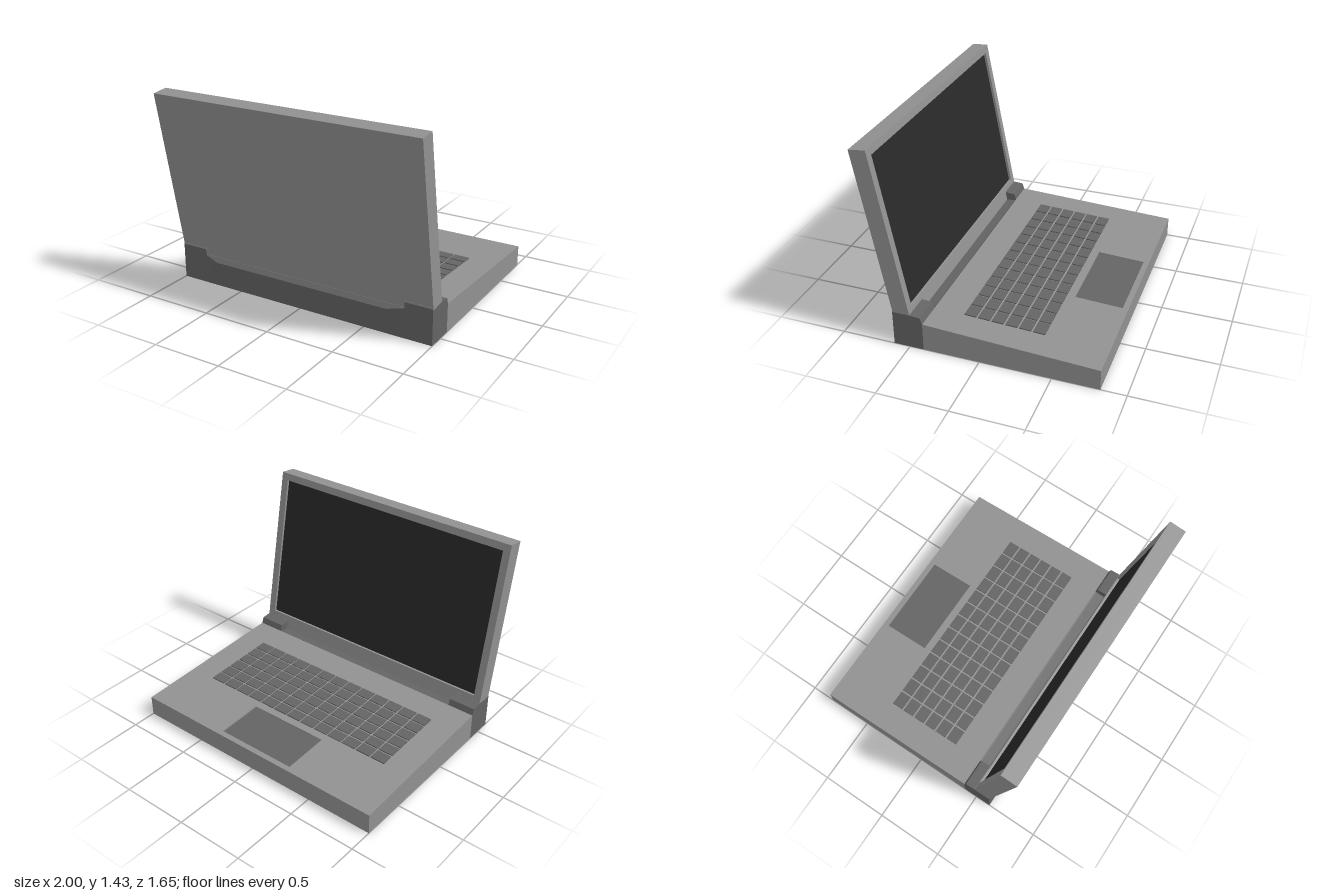
import * as THREE from 'three';

const grey = new THREE.MeshStandardMaterial({ color: 0x919191, flatShading: true });
const dark = new THREE.MeshStandardMaterial({ color: 0x646464, flatShading: true });
const darkSmooth = new THREE.MeshStandardMaterial({ color: 0x646464, side: THREE.DoubleSide });
const black = new THREE.MeshStandardMaterial({ color: 0x292929, flatShading: true });

const shapeOf = (pts) => new THREE.Shape(pts.map(([a, b]) => new THREE.Vector2(a, b)));
const rect = (x0, y0, x1, y1) => shapeOf([[x0, y0], [x1, y0], [x1, y1], [x0, y1]]);
const extrude = (shape, depth) => new THREE.ExtrudeGeometry(shape, { depth, bevelEnabled: false });

function add(parent, name, geometry, material, x = 0, y = 0, z = 0) {
  const mesh = new THREE.Mesh(geometry, material);
  mesh.name = name;
  mesh.position.set(x, y, z);
  parent.add(mesh);
  return mesh;
}

// Side profile given as [z, y] points, extruded along x and centred
function sideProfile(pts, width) {
  return extrude(shapeOf(pts), width).translate(0, 0, -width / 2).rotateY(-Math.PI / 2);
}

// Rear swelling between the hinges, lofted along x and fading out at its ends
function rearBulge() {
  const columns = [[-0.8, 0], [-0.68, 1], [0.68, 1], [0.8, 0]];
  const pos = [], index = [];
  const strip = (rows) => {
    const start = pos.length / 3;
    columns.forEach(([x, t]) => rows(t).forEach(([y, z]) => pos.push(x, y, z)));
    for (let i = 0; i < columns.length - 1; i++) {
      const a = start + i * 2;
      index.push(a, a + 2, a + 3, a, a + 3, a + 1);
    }
  };
  const ridge = (t) => [0.214 - 0.024 * t, 0.616 + 0.028 * t];
  strip((t) => [[0, 0.616], ridge(t)]);
  strip((t) => [ridge(t), [0.215, 0.614]]);
  const g = new THREE.BufferGeometry();
  g.setAttribute('position', new THREE.Float32BufferAttribute(pos, 3));
  g.setIndex(index);
  g.computeVertexNormals();
  return g;
}

export function createModel() {
  const model = new THREE.Group();
  model.name = 'laptop';

  // Wedge-shaped base: two solid sides and a middle notched for the touchpad
  const slope = 0.055 / 1.225;
  const deckY = (z) => 0.187 + slope * z;
  const padFront = -0.785, padBack = -0.443, padHalf = 0.308, recess = 0.012;
  const wedge = (notch) => [[-0.825, 0], [0.4, 0], [0.4, deckY(0.4)], ...notch, [-0.825, deckY(-0.825)]];
  const notch = [[padBack, deckY(padBack)], [padBack, deckY(padBack) - recess],
    [padFront, deckY(padFront) - recess], [padFront, deckY(padFront)]];
  const sideWidth = 1 - padHalf;
  for (const side of [-1, 1]) {
    add(model, side > 0 ? 'baseLeft' : 'baseRight', sideProfile(wedge([]), sideWidth), grey,
      side * (1 - sideWidth / 2));
  }
  add(model, 'baseMiddle', sideProfile(wedge(notch), padHalf * 2), grey);

  // Sloping deck parts: touchpad and keyboard grid
  const deck = new THREE.Group();
  deck.name = 'deck';
  deck.position.y = deckY(0);
  deck.rotation.x = -Math.atan(slope);
  model.add(deck);
  add(deck, 'touchpad', new THREE.BoxGeometry(padHalf * 2, 0.004, padBack - padFront), dark,
    0, -recess, (padFront + padBack) / 2);
  const keyboard = new THREE.Group();
  keyboard.name = 'keyboard';
  deck.add(keyboard);
  const keyGeometry = new THREE.BoxGeometry(0.11, 0.012, 0.083);
  for (let row = 0; row < 6; row++) {
    for (let col = 0; col < 13; col++) {
      add(keyboard, 'key', keyGeometry, dark, -0.74 + col * 0.1233, 0.002, -0.345 + row * 0.0975);
    }
  }

  // Rear housing: low middle section, swelling and two capped hinge blocks
  add(model, 'rearHousing', sideProfile([[0.4, 0], [0.615, 0], [0.615, 0.215], [0.603, 0.215],
    [0.6, 0.19], [0.475, 0.19], [0.41, 0.198], [0.4, 0.205]], 1.6), dark);
  add(model, 'rearBulge', rearBulge(), darkSmooth);
  const hinge = sideProfile([[0.4, 0], [0.615, 0], [0.615, 0.256], [0.488, 0.256],
    [0.415, 0.25], [0.4, 0.205]], 0.2);
  const cap = new THREE.BoxGeometry(0.2, 0.012, 0.124);
  for (const side of [-1, 1]) {
    const name = side > 0 ? 'left' : 'right';
    add(model, name + 'Hinge', hinge, dark, side * 0.9);
    add(model, name + 'HingeCap', cap, grey, side * 0.9, 0.261, 0.552);
  }

  // Tilted lid: back shell, bezel frame and recessed screen, slightly skewed at the top edge
  const lid = new THREE.Group();
  lid.name = 'lid';
  lid.position.set(0, 0.26, 0.49);
  lid.rotation.x = 0.182;
  model.add(lid);
  const skew = new THREE.Matrix4().makeShear(0, 0, 0, 0, 0, 0.07);
  const outline = [[-1, 0], [-0.8, 0], [-0.8, -0.07], [0.8, -0.07], [0.8, 0], [1, 0], [1, 1.19], [-1, 1.19]];
  add(lid, 'lidShell', extrude(shapeOf(outline), 0.1).translate(0, 0, 0.02).applyMatrix4(skew), grey);
  const bezel = shapeOf(outline);
  bezel.holes.push(rect(-0.945, 0.04, 0.945, 1.137));
  add(lid, 'bezel', extrude(bezel, 0.02).applyMatrix4(skew), grey);
  add(lid, 'screen', new THREE.BoxGeometry(1.89, 1.097, 0.006), black, 0, 0.59, 0.021);

  return model;
}
